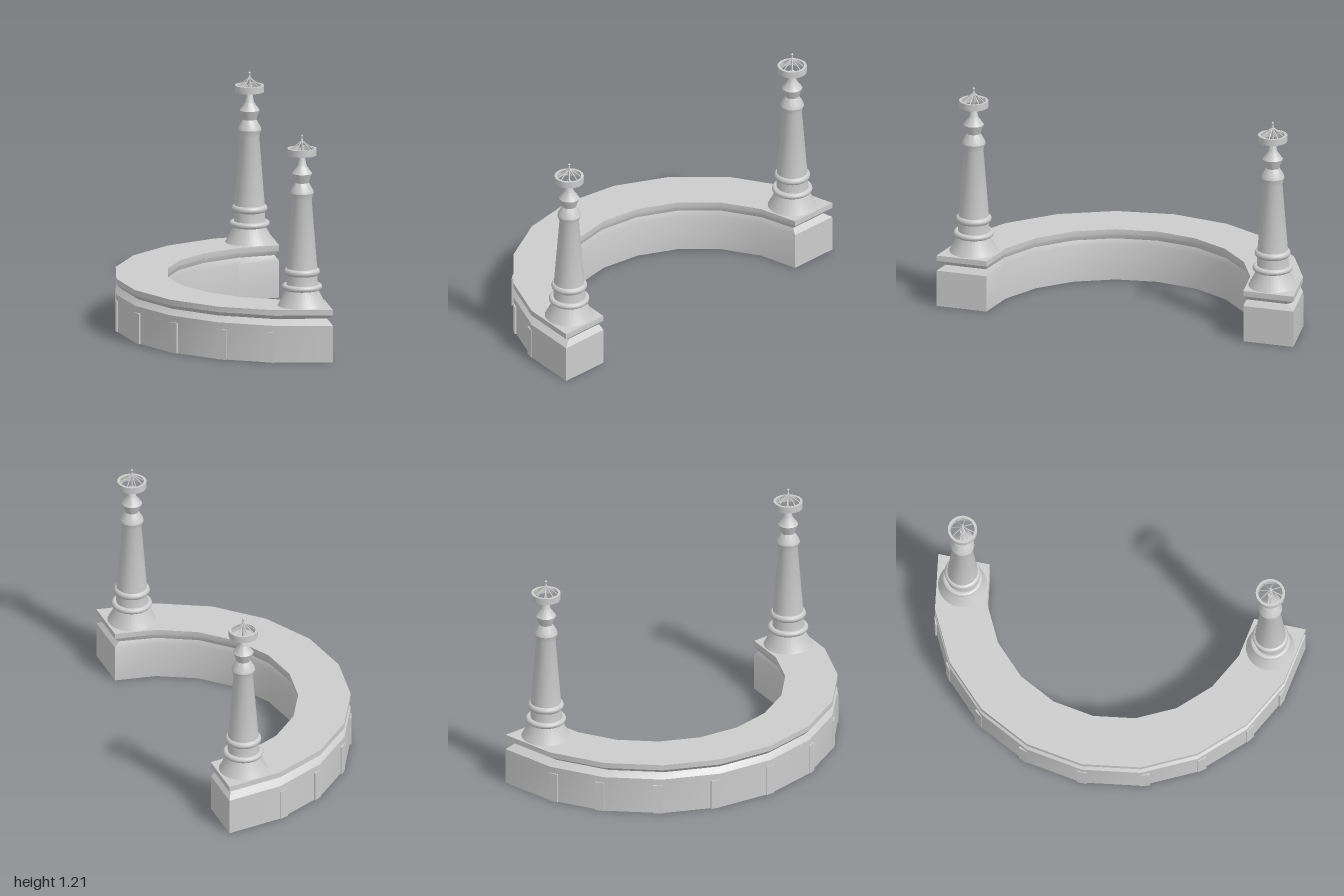
import * as THREE from 'three';
import { toCreasedNormals } from 'three/addons/utils/BufferGeometryUtils.js';

const SEGMENTS = 10;
const CENTRE_X = 0.5;
const grey = new THREE.MeshStandardMaterial({ color: 0xcccccc });
const greyOpen = new THREE.MeshStandardMaterial({ color: 0xcccccc, side: THREE.DoubleSide });

function addMesh(parent, name, geometry, material = grey) {
  const mesh = new THREE.Mesh(geometry, material);
  mesh.name = name;
  parent.add(mesh);
  return mesh;
}

// Half-ring outline: outer arc from +z to -z, then inner arc back
function outline(inset) {
  const points = [];
  const arc = (radius, k) => {
    const a = Math.PI / 2 + (Math.PI * k) / SEGMENTS;
    return [CENTRE_X + radius * Math.cos(a), radius * Math.sin(a)];
  };
  for (let k = 0; k <= SEGMENTS; k++) {
    const [x, z] = arc(1, k);
    points.push(inset ? [x * 0.95, z * 0.955] : [x, z]);
  }
  for (let k = SEGMENTS; k >= 0; k--) {
    const [x, z] = arc(inset ? 0.73 : 0.72, k);
    points.push([inset ? Math.min(x, 0.475) : x, z]);
  }
  return points;
}

// Curved wall with a V groove under its coping; open underneath
function wallGeometry() {
  const levels = [[0, false], [0.2, false], [0.23, true], [0.255, false], [0.285, false]];
  const n = 2 * (SEGMENTS + 1);
  const positions = [];
  const index = [];
  for (const [y, inset] of levels) {
    for (const [x, z] of outline(inset)) positions.push(x, y, z);
  }
  for (let l = 0; l < levels.length - 1; l++) {
    for (let i = 0; i < n; i++) {
      const a0 = l * n + i;
      const a1 = l * n + ((i + 1) % n);
      index.push(a0, a0 + n, a1, a1, a0 + n, a1 + n);
    }
  }
  const top = (levels.length - 1) * n;
  for (let k = 0; k < SEGMENTS; k++) {
    const o0 = top + k, o1 = o0 + 1;
    const i0 = top + n - 1 - k, i1 = i0 - 1;
    index.push(o0, i0, o1, o1, i0, i1);
  }
  const geometry = new THREE.BufferGeometry();
  geometry.setAttribute('position', new THREE.Float32BufferAttribute(positions, 3));
  geometry.setIndex(index);
  return toCreasedNormals(geometry, 0.45);
}

function lathe(profile, segments = 32) {
  const points = profile.map(([r, y]) => new THREE.Vector2(r, y));
  return toCreasedNormals(new THREE.LatheGeometry(points, segments), 0.5);
}

// Thin round bar between two points
function bar(parent, name, from, to, radius) {
  const curve = new THREE.LineCurve3(from, to);
  return addMesh(parent, name, new THREE.TubeGeometry(curve, 1, radius, 6), greyOpen);
}

function createPillar(name) {
  const pillar = new THREE.Group();
  pillar.name = name;

  addMesh(pillar, 'pillarShaft', lathe([
    [0.13, 0.285], [0.083, 0.375], [0.083, 0.45], [0.081, 0.49],
    [0.052, 0.86], [0.063, 0.895], [0.059, 0.91], [0.036, 0.95],
    [0.054, 1.0], [0.024, 1.043], [0.014, 1.1], [0, 1.1],
  ]));

  // Rounded collars near the foot
  for (const [y, outer, half] of [[0.386, 0.108, 0.016], [0.468, 0.096, 0.02]]) {
    const collar = addMesh(pillar, 'collar', new THREE.TorusGeometry(outer - half, half, 12, 32));
    collar.rotation.x = Math.PI / 2;
    collar.position.y = y;
  }

  // Crown wheel, its sloping spokes and the finial
  addMesh(pillar, 'crownRim', lathe([
    [0.064, 1.1], [0.078, 1.1], [0.078, 1.136], [0.064, 1.136], [0.064, 1.1],
  ]));
  const hub = new THREE.Vector3(0, 1.178, 0);
  for (let i = 0; i < 8; i++) {
    const a = (i * Math.PI) / 4;
    bar(pillar, 'spoke', new THREE.Vector3(0.067 * Math.cos(a), 1.125, 0.067 * Math.sin(a)), hub, 0.003);
  }
  addMesh(pillar, 'finial', lathe([
    [0.006, 1.09], [0.005, 1.17], [0.007, 1.178], [0.004, 1.186],
    [0.004, 1.195], [0.007, 1.203], [0, 1.211],
  ], 12));
  return pillar;
}

export function createModel() {
  const model = new THREE.Group();
  model.name = 'curvedWallWithPillars';
  addMesh(model, 'curvedWall', wallGeometry(), greyOpen);

  // Narrow piers set into the outer wall, mirrored front to back
  const addPier = (degrees) => {
    const a = THREE.MathUtils.degToRad(degrees);
    const pier = addMesh(model, 'pier', new THREE.BoxGeometry(0.06, 0.165, 0.05));
    pier.position.set(CENTRE_X + 0.973 * Math.cos(a), 0.0825, 0.973 * Math.sin(a));
    pier.rotation.y = Math.PI / 2 - a + Math.PI / 2;
    pier.rotation.y = -a;
  };
  for (const d of [109.3, 124.7, 142.5, 160.6]) {
    addPier(d);
    addPier(360 - d);
  }
  addPier(180);

  for (const [side, name] of [[1, 'frontPillar'], [-1, 'backPillar']]) {
    const pillar = createPillar(name);
    pillar.position.set(0.36, 0, side * 0.838);
    model.add(pillar);
  }
  return model;
}
